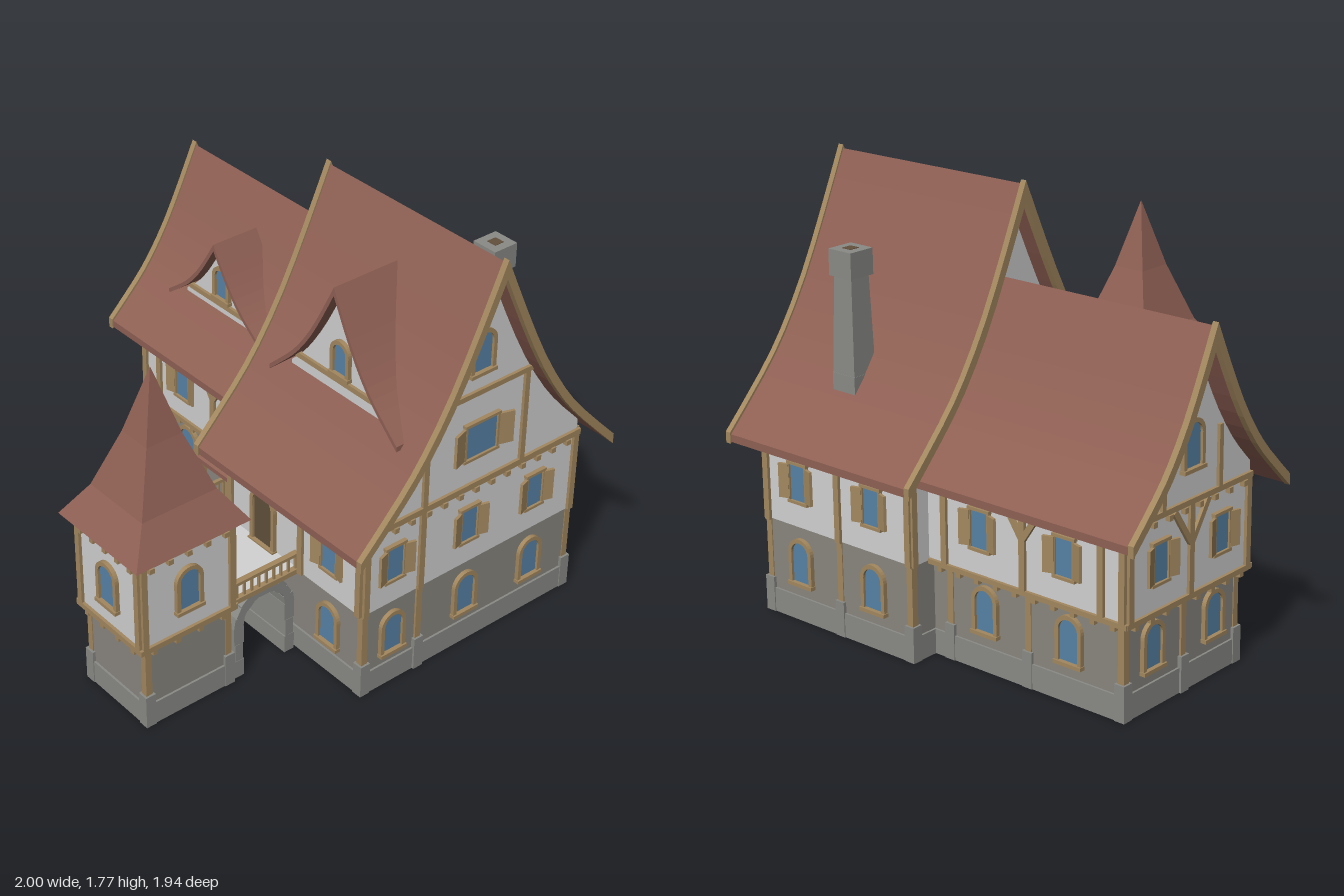
import * as THREE from 'three';

const mat = (name, color, side = THREE.FrontSide) => {
  const m = new THREE.MeshStandardMaterial({ color, side });
  m.name = name;
  return m;
};
const M = {
  plaster: mat('plaster', 0xd2d2d2), stone: mat('wall stone', 0x8a8780), block: mat('cut stone', 0x8a8a86),
  roof: mat('roof tile', 0x8f6054, THREE.DoubleSide), wood: mat('timber', 0xa3885f),
  dark: mat('dark timber', 0x62503c), glass: mat('glass', 0x5783a6),
};

function add(parent, name, geo, material, x = 0, y = 0, z = 0) {
  const m = new THREE.Mesh(geo, material);
  m.name = name;
  m.position.set(x, y, z);
  parent.add(m);
  return m;
}
// Box given by its min and max corners
const box = (p, name, m, x0, x1, y0, y1, z0, z1) =>
  add(p, name, new THREE.BoxGeometry(x1 - x0, y1 - y0, z1 - z0), m, (x0 + x1) / 2, (y0 + y1) / 2, (z0 + z1) / 2);
const extrude = (shape, depth) => new THREE.ExtrudeGeometry(shape, { depth, bevelEnabled: false, curveSegments: 8 });
const poly = pts => new THREE.Shape(pts.map(p => new THREE.Vector2(p[0], p[1])));

// Flat beam on a wall face, between two points
function beam(p, x0, y0, x1, y1, w = 0.027, d = 0.016) {
  const m = add(p, 'timber', new THREE.BoxGeometry(w, Math.hypot(x1 - x0, y1 - y0), d), M.wood, (x0 + x1) / 2, (y0 + y1) / 2, d / 2 - 0.003);
  m.rotation.z = -Math.atan2(x1 - x0, y1 - y0);
}
// Group whose +z points out of a wall
function face(p, name, angle, x, z) {
  const g = new THREE.Group();
  g.name = name;
  g.rotation.y = angle;
  g.position.set(x, 0, z);
  p.add(g);
  return g;
}

// Concave roof curve: [half width fraction, height fraction], ridge to eave
const CURVE = new THREE.SplineCurve([[0, 1], [0.17, 0.76], [0.347, 0.53], [0.534, 0.335], [0.715, 0.19], [1, 0]]
  .map(p => new THREE.Vector2(...p))).getPoints(10);
const slope = (hw, eave, apex) => CURVE.map(p => [p.x * hw, eave + p.y * (apex - eave)]);
const mirror = pts => [...pts.slice(1).reverse().map(p => [-p[0], p[1]]), ...pts];

function roofShell(p, name, m, hw, eave, apex, z0, z1, t) {
  const top = slope(hw, eave, apex);
  const low = top.map((q, i) => {
    const a = top[Math.max(i - 1, 0)], b = top[Math.min(i + 1, top.length - 1)];
    return [q[0], q[1] - t * Math.hypot(1, (b[1] - a[1]) / (b[0] - a[0]))];
  });
  add(p, name, extrude(poly([...mirror(top), ...mirror(low).reverse()]), z1 - z0), m, 0, 0, z0);
}
// Tiled roof with bargeboards at both ends
function gableRoof(p, hw, eave, apex, z0, z1) {
  roofShell(p, 'roof', M.roof, hw, eave, apex, z0 + 0.01, z1 - 0.01, 0.022);
  for (const z of [z0, z1 - 0.025]) roofShell(p, 'bargeboard', M.wood, hw + 0.005, eave + 0.008, apex + 0.015, z, z + 0.025, 0.032);
}
// Wall block that ends in a gable under the roof curve
function gableWall(p, w, base, hw, eave, apex, z0, z1) {
  const s = slope(hw, eave, apex), i = s.findIndex(q => q[0] > w);
  const [a, b] = [s[i - 1], s[i]], k = (w - a[0]) / (b[0] - a[0]);
  const side = [...s.slice(0, i), [w, a[1] + k * (b[1] - a[1])]].map(q => [q[0], q[1] - 0.03]);
  add(p, 'plaster wall', extrude(poly([[w, base], [-w, base], ...mirror(side)]), z1 - z0), M.plaster, 0, 0, z0);
}

function archShape(C, w, h) {
  const s = new C();
  s.moveTo(-w / 2, 0);
  s.lineTo(w / 2, 0);
  s.lineTo(w / 2, h - w / 2);
  s.absarc(0, h - w / 2, w / 2, 0, Math.PI);
  s.lineTo(-w / 2, 0);
  return s;
}
function archWindow(p, x, y, h = 0.17, material = M.glass, w = 0.09) {
  const frame = archShape(THREE.Shape, w + 0.034, h + 0.017);
  frame.holes.push(archShape(THREE.Path, w, h));
  add(p, 'window frame', extrude(frame, 0.018), M.wood, x, y, 0);
  add(p, 'arched pane', extrude(archShape(THREE.Shape, w, h), 0.007), material, x, y, 0);
  box(p, 'sill', M.wood, x - w / 2 - 0.02, x + w / 2 + 0.02, y - 0.012, y + 0.003, 0, 0.025);
}
function shutterWindow(p, x, y, w = 0.09, h = 0.155, sw = 0.044) {
  box(p, 'window pane', M.glass, x - w / 2, x + w / 2, y, y + h, 0, 0.008);
  for (const yy of [y - 0.008, y + h - 0.004]) box(p, 'window rail', M.wood, x - w / 2 - 0.008, x + w / 2 + 0.008, yy, yy + 0.012, 0, 0.018);
  for (const s of [-1, 1]) {
    box(p, 'window jamb', M.wood, x + s * w / 2 - 0.005, x + s * w / 2 + 0.005, y, y + h, 0, 0.016);
    const m = add(p, 'shutter', new THREE.BoxGeometry(sw, h - 0.015, 0.012), M.wood, x + s * (w / 2 + sw / 2), y + h / 2, 0.018);
    m.rotation.y = -s * 0.3;
  }
}
const door = (p, x, y) => archWindow(p, x, y, 0.24, M.dark, 0.11);

// Stone storey with plinth and corner blocks
function stoneBase(p, x0, x1, z0, z1, h, blocks) {
  box(p, 'stone wall', M.stone, x0, x1, 0, h, z0, z1);
  box(p, 'plinth', M.block, x0 - 0.009, x1 + 0.009, 0, 0.1, z0 - 0.009, z1 + 0.009);
  for (const [x, z] of blocks) {
    box(p, 'corner block', M.block, x - 0.023, x + 0.023, 0, 0.145, z - 0.023, z + 0.023);
    box(p, 'stone storey post', M.wood, x - 0.014, x + 0.014, 0.145, h, z - 0.014, z + 0.014);
  }
}
// Row of small joist ends
function joists(p, x0, x1, y, n, d = 0.03) {
  for (let i = 0; i < n; i++) {
    const x = x0 + (x1 - x0) * (i + 0.5) / n;
    box(p, 'joist end', M.wood, x - 0.011, x + 0.011, y - 0.022, y, -0.01, d);
  }
}
// Y-shaped post and braces
function yBrace(p, x) {
  beam(p, x, 0.39, x, 0.75);
  for (const s of [-1, 1]) beam(p, x, 0.59, x + s * 0.1, 0.74, 0.024);
}
// Dormer facing -x
function dormer(p, x, z, hw, eave, apex, depth, winY) {
  const g = face(p, 'dormer', -Math.PI / 2, x, z);
  roofShell(g, 'dormer roof', M.roof, hw, eave, apex, -depth, 0, 0.016);
  gableWall(g, hw * 0.8, eave, hw, eave, apex, -depth * 0.8, -0.05);
  const f = face(g, 'dormer front', 0, 0, -0.05);
  archWindow(f, 0, winY, 0.13, M.glass, 0.07);
  beam(f, -hw * 0.7, winY - 0.03, hw * 0.7, winY - 0.03, 0.022);
}

function mainHouse(root) {
  const g = new THREE.Group(); g.name = 'mainHouse'; root.add(g);
  const cx = 0.347, H = Math.PI / 2;
  stoneBase(g, -0.195, 0.9, 0.085, 0.865, 0.39,
    [[-0.185, 0.855], [0.085, 0.86], [0.89, 0.855], [0.89, 0.465], [0.89, 0.095], [-0.185, 0.095]]);
  const upper = face(g, 'mainUpper', 0, cx, 0);
  gableWall(upper, 0.553, 0.385, 0.65, 0.74, 1.755, 0.085, 0.868);
  gableRoof(upper, 0.65, 0.74, 1.755, -0.01, 0.97);
  const front = face(g, 'mainFront', 0, 0, 0.868);
  for (const x of [-0.053, 0.325, 0.674]) { archWindow(front, x, 0.16); shutterWindow(front, x, 0.5); }
  shutterWindow(front, 0.362, 0.885, 0.165, 0.155, 0.068);
  archWindow(front, 0.343, 1.265, 0.165);
  for (const x of [-0.19, 0.085, 0.89]) beam(front, x, 0.385, x, 0.75);
  for (const x of [0.088, 0.588]) beam(front, x, 0.75, x, 1.17, 0.024);
  beam(front, -0.22, 0.753, 0.91, 0.753);
  beam(front, 0.07, 1.172, 0.62, 1.172, 0.022);
  joists(front, -0.18, 0.88, 0.742, 13, 0.02);
  const right = face(g, 'mainRight', H, 0.9, 0);
  for (const z of [0.675, 0.28]) { archWindow(right, -z, 0.16); shutterWindow(right, -z, 0.5); }
  for (const z of [0.855, 0.465, 0.095]) beam(right, -z, 0.385, -z, 0.77);
  const left = face(g, 'mainLeft', -H, -0.206, 0);
  archWindow(left, 0.69, 0.16); shutterWindow(left, 0.69, 0.5); door(left, 0.3, 0.4);
  for (const z of [0.855, 0.52, 0.095]) beam(left, z, 0.385, z, 0.77);
  const back = face(g, 'mainBack', Math.PI, 0, 0.085);
  for (const x of [0.19, -0.89]) beam(back, x, 0.385, x, 0.75);
  beam(back, -0.91, 0.753, 0.22, 0.753);
  dormer(g, -0.04, 0.485, 0.36, 1.075, 1.58, 0.315, 1.19);
  // Chimney
  const ch = face(g, 'chimney', 0, 0.738, 0.52);
  box(ch, 'chimney foot', M.block, -0.058, 0.058, 0.88, 1.02, -0.058, 0.058);
  add(ch, 'chimney shaft', new THREE.CylinderGeometry(0.064, 0.08, 0.4, 4, 1, false, Math.PI / 4).toNonIndexed(), M.block, 0, 1.21, 0).geometry.computeVertexNormals();
  box(ch, 'chimney cap', M.block, -0.058, 0.058, 1.4, 1.503, -0.058, 0.058);
  box(ch, 'flue', M.dark, -0.022, 0.022, 1.5, 1.505, -0.022, 0.022);
}

function backWing(root) {
  const g = new THREE.Group(); g.name = 'backWing'; root.add(g);
  const cx = 0.445, H = Math.PI / 2;
  stoneBase(g, 0.11, 0.78, -0.83, 0.1, 0.39,
    [[0.12, -0.82], [0.77, -0.82], [0.77, -0.385], [0.77, 0], [0.445, -0.825]]);
  const upper = face(g, 'wingUpper', 0, cx, 0);
  gableWall(upper, 0.36, 0.38, 0.455, 0.74, 1.42, -0.86, 0.1);
  gableRoof(upper, 0.455, 0.74, 1.42, -0.97, 0.08);
  const right = face(g, 'wingRight', H, 0.805, 0), left = face(g, 'wingLeft', -H, 0.085, 0);
  const back = face(g, 'wingBack', Math.PI, 0, -0.86);
  for (const [f, s] of [[right, -1], [left, 1]]) {
    for (const z of [-0.18, -0.585]) shutterWindow(f, s * z, 0.5);
    for (const z of [0, -0.75, -0.847]) beam(f, s * z, 0.385, s * z, 0.76);
    yBrace(f, s * -0.385);
    beam(f, s * 0.08, 0.387, s * -0.87, 0.387, 0.02);
    joists(f, s * 0.07, s * -0.85, 0.38, 10, 0.01);
  }
  const lowRight = face(g, 'wingLowerRight', H, 0.78, 0), lowLeft = face(g, 'wingLowerLeft', -H, 0.11, 0);
  for (const z of [-0.18, -0.585]) archWindow(lowRight, -z, 0.16);
  archWindow(lowLeft, -0.585, 0.16);
  door(lowLeft, -0.185, 0.14);
  const lowBack = face(g, 'wingLowerBack', Math.PI, 0, -0.83);
  for (const x of [cx - 0.18, cx + 0.18]) { archWindow(lowBack, -x, 0.16); shutterWindow(back, -x, 0.5); }
  yBrace(back, -cx);
  for (const x of [0.1, 0.79]) beam(back, -x, 0.385, -x, 0.76);
  for (const y of [0.387, 0.753]) beam(back, -0.81, y, -0.08, y, 0.022);
  for (const s of [-1, 1]) beam(back, -cx + s * 0.165, 0.76, -cx + s * 0.165, 1.0, 0.022);
  joists(back, -0.8, -0.09, 0.38, 8, 0.01);
  joists(back, -0.8, -0.09, 0.742, 8, 0.02);
  archWindow(back, -cx, 0.88, 0.17);
  dormer(g, 0.13, -0.435, 0.3, 0.945, 1.285, 0.22, 1.02);
}

function porch(root) {
  const g = new THREE.Group(); g.name = 'porch'; root.add(g);
  box(g, 'porch floor', M.block, -0.06, 0.11, 0, 0.14, -0.32, -0.05);
  for (let i = 0; i < 5; i++) box(g, 'step', M.block, -0.2 + i * 0.028, -0.06, 0, 0.024 * (i + 1), -0.315, -0.05);
  for (const z of [-0.305, -0.065]) {
    for (const x of [-0.04, 0.09]) box(g, 'porch post', M.wood, x - 0.012, x + 0.012, 0.14, 0.44, z - 0.012, z + 0.012);
    box(g, 'porch rail', M.wood, -0.04, 0.1, 0.235, 0.25, z - 0.008, z + 0.008);
    for (let i = 0; i < 4; i++) box(g, 'baluster', M.wood, -0.015 + i * 0.026, -0.007 + i * 0.026, 0.14, 0.24, z - 0.004, z + 0.004);
  }
  box(g, 'porch beam', M.wood, -0.052, -0.028, 0.405, 0.43, -0.33, -0.04);
  const s = poly([[-0.062, 0.41], [0, 0.45], [0.05, 0.5], [0.1, 0.57], [0.1, 0.54], [0.05, 0.475], [0, 0.43], [-0.062, 0.39]]);
  add(g, 'porch roof', extrude(s, 0.32), M.roof, 0, 0, -0.34);
}

function tower(root) {
  const g = new THREE.Group(); g.name = 'tower'; root.add(g);
  const H = Math.PI / 2, cx = -0.738, cz = 0.31, w = 0.215, d = 0.193;
  const corners = [[-0.92, 0.14], [-0.543, 0.14], [-0.92, 0.48], [-0.543, 0.48]];
  stoneBase(g, -0.93, -0.533, 0.13, 0.49, 0.37, corners);
  box(g, 'passage wall', M.plaster, -0.53, -0.521, 0, 0.36, 0.17, 0.45);
  box(g, 'tower wall', M.plaster, cx - w, cx + w, 0.365, 0.78, cz - d, cz + d);
  const sides = [[0, cx, cz + d, w], [H, cx + w, cz, d], [Math.PI, cx, cz - d, w], [-H, cx - w, cz, d]];
  sides.forEach(([a, x, z, h], i) => {
    const f = face(g, 'towerSide', a, x, z);
    if (i === 1) door(f, 0, 0.4); else archWindow(f, 0, 0.487, 0.175);
    for (const s of [-1, 1]) beam(f, s * (h - 0.012), 0.37, s * (h - 0.012), 0.77, 0.026);
    for (const y of [0.377, 0.762]) beam(f, -h - 0.01, y, h + 0.01, y, 0.024);
    joists(f, -h, h, 0.366, 4, 0.01);
    joists(f, -h, h, 0.752, 5, 0.02);
  });
  const pts = [[0.001, 0.78], [0.262, 0.785], [0.17, 0.922], [0.08, 1.163], [0.0005, 1.44]]
    .map(p => new THREE.Vector2(p[0] * Math.SQRT2, p[1]));
  const geo = new THREE.LatheGeometry(pts, 4, Math.PI / 4).toNonIndexed();
  geo.scale(1, 1, 0.92);
  geo.computeVertexNormals();
  add(g, 'tower roof', geo, M.roof, cx, 0, cz);
}

function bridge(root) {
  const g = new THREE.Group(); g.name = 'bridge'; root.add(g);
  const cx = -0.363, y0 = 0.237, r = 0.125;
  // Arch of jamb stones and wedge stones
  for (const s of [-1, 1]) for (let i = 0; i < 3; i++) {
    const t = i % 2 ? 0.019 : 0.024;
    box(g, 'jamb stone', M.block, cx + s * r - t, cx + s * r + t, i * 0.08, i * 0.08 + 0.079, 0.13, 0.49);
  }
  for (let i = 0; i < 9; i++) {
    const a = Math.PI * (i + 0.5) / 9;
    const m = add(g, 'arch stone', new THREE.BoxGeometry(i % 2 ? 0.038 : 0.046, 0.047, 0.36), M.block, cx + r * Math.cos(a), y0 + r * Math.sin(a), 0.31);
    m.rotation.z = a;
  }
  box(g, 'bridge deck', M.plaster, -0.525, -0.2, 0.38, 0.396, 0.12, 0.5);
  for (const z of [0.12, 0.495]) {
    box(g, 'deck beam', M.wood, -0.525, -0.2, 0.378, 0.4, z - 0.012, z + 0.012);
    box(g, 'handrail', M.wood, -0.525, -0.2, 0.462, 0.476, z - 0.012, z + 0.012);
    for (let i = 0; i < 9; i++) box(g, 'baluster', M.wood, -0.507 + i * 0.036, -0.498 + i * 0.036, 0.395, 0.465, z - 0.005, z + 0.005);
  }
}

export function createModel() {
  const root = new THREE.Group();
  root.name = 'timberHouse';
  for (const build of [mainHouse, backWing, porch, tower, bridge]) build(root);
  return root;
}
